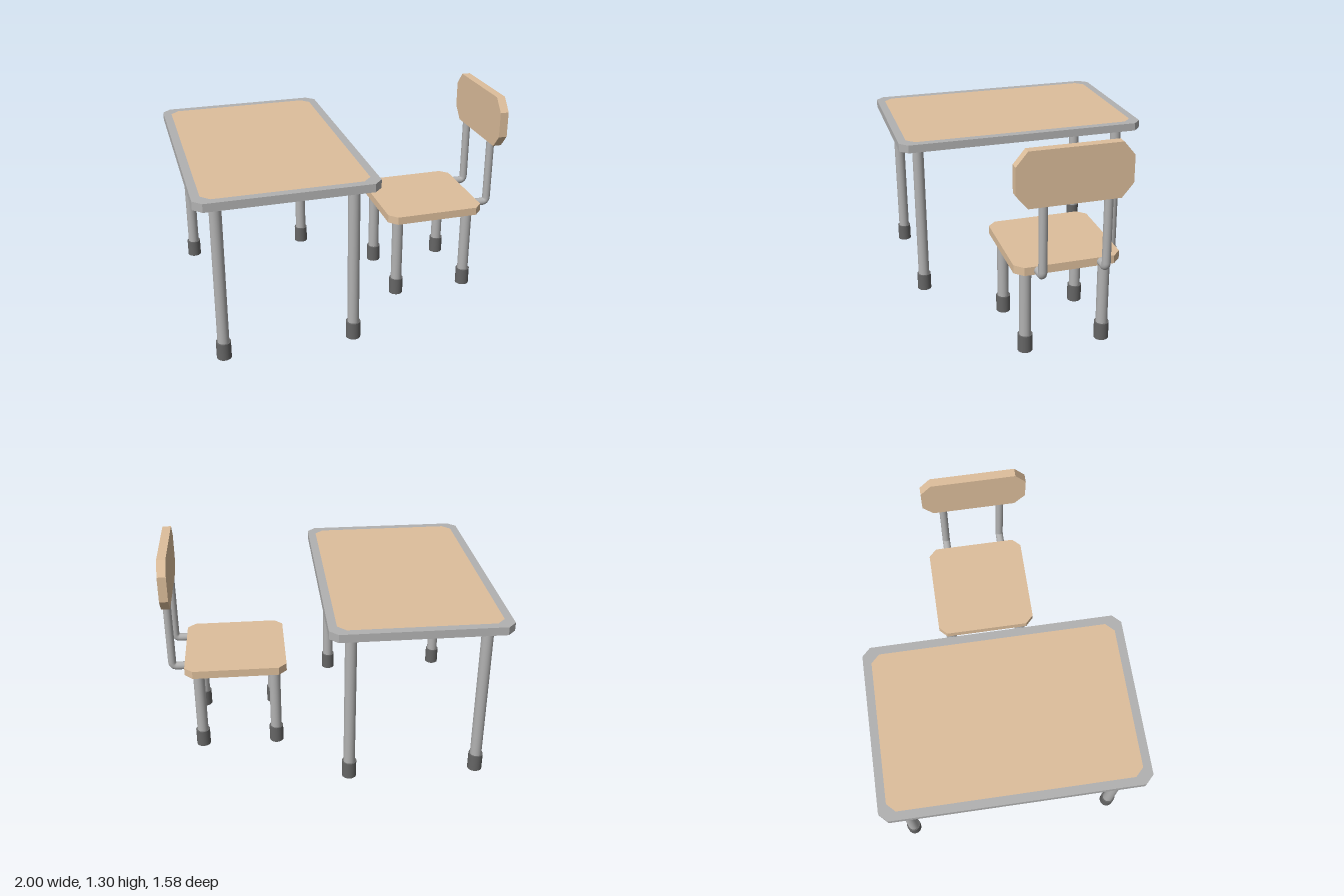
import * as THREE from 'three';

const wood = new THREE.MeshStandardMaterial({ color: 0xdebf9c });
const steel = new THREE.MeshStandardMaterial({ color: 0xb2b2b2 });
const rubber = new THREE.MeshStandardMaterial({ color: 0x666666 });

// Corner points of a w x h rectangle with corners cut by cx, cy
function cutCorners(w, h, cx, cy) {
  const a = w / 2, b = h / 2;
  return [
    [a, -b + cy], [a, b - cy], [a - cx, b], [-a + cx, b],
    [-a, b - cy], [-a, -b + cy], [-a + cx, -b], [a - cx, -b],
  ].map(([x, y]) => new THREE.Vector2(x, y));
}

// Flat slab of the given thickness, optionally with an opening
function slab(name, outline, thickness, material, opening) {
  const shape = new THREE.Shape(outline);
  if (opening) shape.holes.push(new THREE.Path(opening));
  const geometry = new THREE.ExtrudeGeometry(shape, { depth: thickness, bevelEnabled: false });
  const mesh = new THREE.Mesh(geometry, material);
  mesh.name = name;
  return mesh;
}

// Round leg with a dark foot cap
function leg(name, x, z, height) {
  const group = new THREE.Group();
  group.name = name;
  const capHeight = 0.107;
  const tube = new THREE.Mesh(new THREE.CylinderGeometry(0.035, 0.035, height - 0.02, 20), steel);
  tube.name = 'legTube';
  tube.position.y = (height + 0.02) / 2;
  const cap = new THREE.Mesh(new THREE.CylinderGeometry(0.044, 0.044, capHeight, 20), rubber);
  cap.name = 'footCap';
  cap.position.y = capHeight / 2;
  group.add(tube, cap);
  group.position.set(x, 0, z);
  return group;
}

function createTable() {
  const table = new THREE.Group();
  table.name = 'table';
  const inner = cutCorners(0.95, 1.475, 0.05, 0.05);
  const frame = slab('tableFrame', cutCorners(1.05, 1.575, 0.05, 0.05), 0.05, steel, inner);
  const top = slab('tableTop', inner, 0.05, wood);
  for (const part of [frame, top]) {
    part.rotation.x = -Math.PI / 2;
    part.position.set(-0.475, 1.0, 0);
    table.add(part);
  }
  for (const x of [-0.87, -0.084])
    for (const z of [-0.66, 0.66]) table.add(leg('tableLeg', x, z, 1.0));
  return table;
}

function createChair() {
  const chair = new THREE.Group();
  chair.name = 'chair';
  const seat = slab('seat', cutCorners(0.63, 0.63, 0.05, 0.05), 0.05, wood);
  seat.rotation.x = -Math.PI / 2;
  seat.position.set(0.58, 0.53, 0);
  const back = slab('backrest', cutCorners(0.66, 0.32, 0.067, 0.081), 0.053, wood);
  back.rotation.y = Math.PI / 2;
  back.position.set(0.947, 1.14, 0.015);
  chair.add(seat, back);

  for (const x of [0.34, 0.812])
    for (const z of [-0.237, 0.237]) chair.add(leg('chairLeg', x, z, 0.53));

  // Bent tubes from the seat's rear edge up to the backrest
  for (const z of [-0.185, 0.185]) {
    const path = new THREE.CurvePath();
    const p = (x, y) => new THREE.Vector3(x, y, z);
    path.add(new THREE.LineCurve3(p(0.88, 0.555), p(0.94, 0.555)));
    path.add(new THREE.QuadraticBezierCurve3(p(0.94, 0.555), p(0.972, 0.555), p(0.972, 0.587)));
    path.add(new THREE.LineCurve3(p(0.972, 0.587), p(0.972, 0.99)));
    const post = new THREE.Mesh(new THREE.TubeGeometry(path, 60, 0.025, 16), steel);
    post.name = 'backPost';
    chair.add(post);
  }
  return chair;
}

export function createModel() {
  const model = new THREE.Group();
  model.name = 'deskAndChair';
  model.add(createTable(), createChair());
  return model;
}
